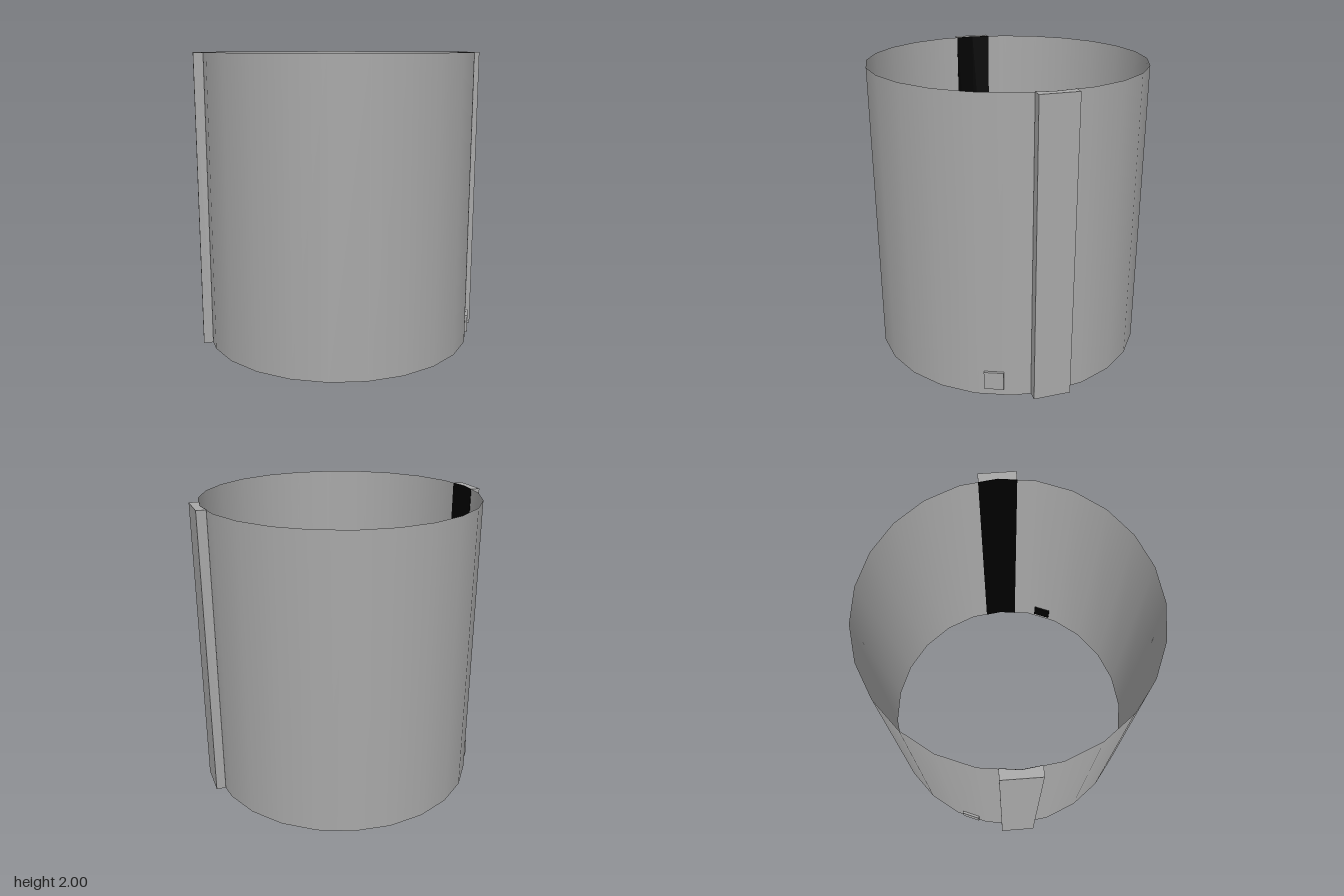
import * as THREE from 'three';

const R = 0.935;              // shell radius at its 24 corners
const HEIGHT = 2;
const STEP = Math.PI / 12;
const CHORD = R * Math.cos(STEP / 2);

const grey = new THREE.MeshStandardMaterial({ color: 0xa8a8a8 });
grey.name = 'grey';
const shellGrey = grey.clone();
shellGrey.name = 'greyShell';
shellGrey.side = THREE.DoubleSide;
const black = new THREE.MeshStandardMaterial({ color: 0x000000 });
black.name = 'black';

// Upright prism: outline is (radial, tangential), raised along y
function prism(name, outline, y0, y1, material) {
  const shape = new THREE.Shape(outline.map(([x, y]) => new THREE.Vector2(x, y)));
  const geo = new THREE.ExtrudeGeometry(shape, { depth: y1 - y0, bevelEnabled: false });
  geo.rotateX(-Math.PI / 2).translate(0, y0, 0);
  const mesh = new THREE.Mesh(geo, material);
  mesh.name = name;
  return mesh;
}

const rect = (x0, x1, w) => [[x0, -w], [x1, -w], [x1, w], [x0, w]];

// Group whose local x axis points outwards at the given angle from +x to +z
function radialGroup(name, angle, parts) {
  const group = new THREE.Group();
  group.name = name;
  group.rotation.y = -angle;
  group.add(...parts);
  return group;
}

export function createModel() {
  const model = new THREE.Group();
  model.name = 'sleeve';

  // Open thin-walled shell
  const shell = new THREE.Mesh(
    new THREE.CylinderGeometry(R, R, HEIGHT, 24, 1, true), shellGrey);
  shell.name = 'shell';
  shell.position.y = HEIGHT / 2;
  model.add(shell);

  const w = 0.124, inner = 0.919, outer = 0.983, t = 0.003;
  for (const turn of [0, Math.PI]) {
    const side = turn ? 'right' : 'left';

    // Full-height rib, its inner side following two facets of the shell
    model.add(radialGroup(`${side}Rib`, turn + STEP, [
      prism('ribBody', [[inner, -w], [outer, -w], [outer, w], [inner, w], [R, 0]], 0, HEIGHT, grey),
      prism('ribLining', [[inner - t, -w], [inner, -w], [R, 0], [inner, w], [inner - t, w], [R - t, 0]],
        0, HEIGHT, black),
    ]));

    // Small tab near the bottom, passing through the shell
    model.add(radialGroup(`${side}Tab`, turn + 2.5 * STEP, [
      prism('tabFace', rect(CHORD, 0.943, 0.064), 0.05, 0.175, grey),
      prism('tabBack', rect(0.916, CHORD, 0.064), 0.05, 0.175, black),
    ]));
  }
  return model;
}
